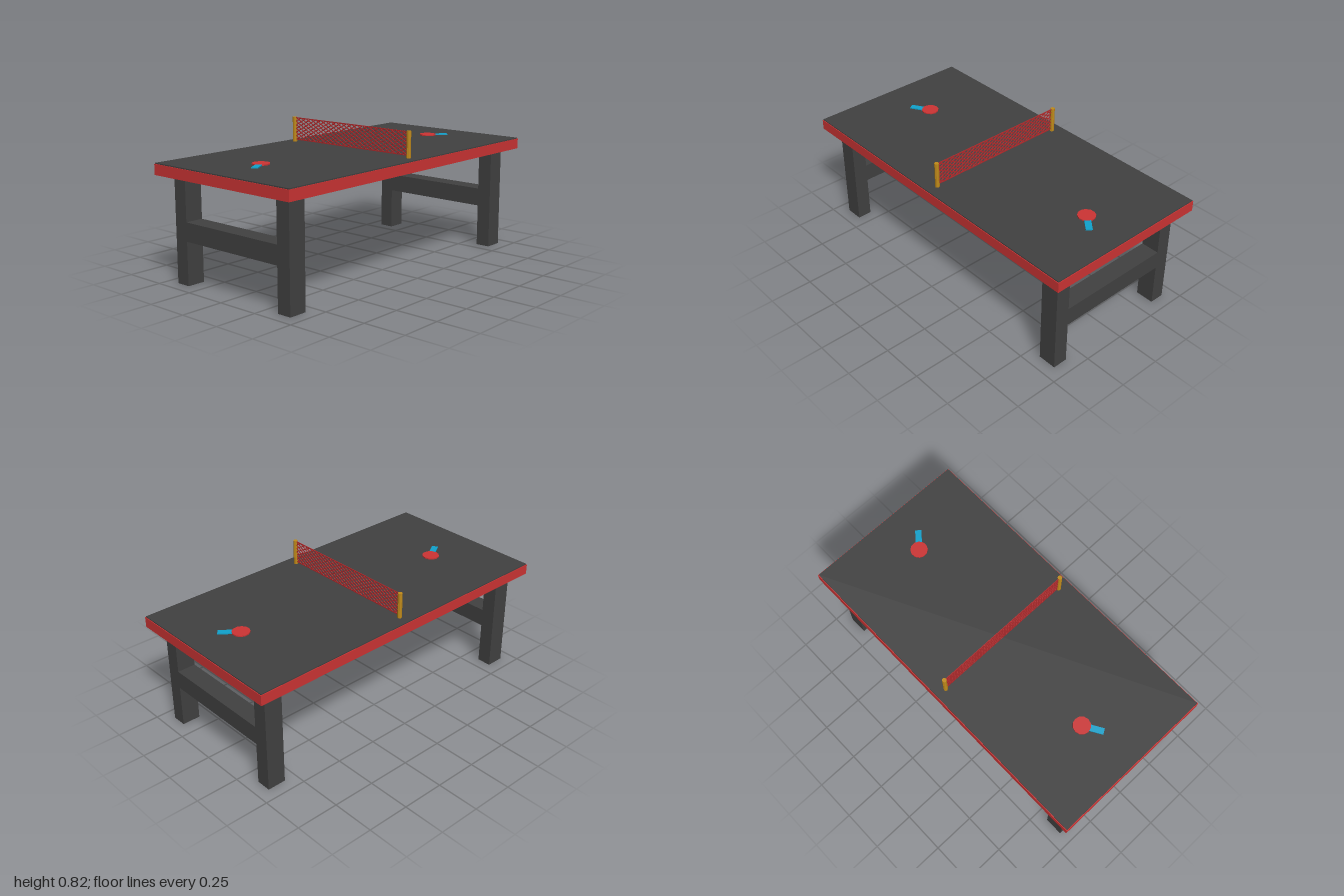
import * as THREE from 'three';
import { mergeGeometries } from 'three/addons/utils/BufferGeometryUtils.js';

const mat = (name, color) => {
  const m = new THREE.MeshStandardMaterial({ color });
  m.name = name;
  return m;
};

export function createModel() {
  const charcoal = mat('charcoal', 0x414141);
  const red = mat('red', 0xcc3434);
  const netRed = mat('net red', 0xb02a2c);
  const gold = mat('gold', 0xc08a1a);
  const blue = mat('blue', 0x10a2cc);

  const model = new THREE.Group();
  model.name = 'pingPongTable';

  const add = (parent, name, geometry, material, x = 0, y = 0, z = 0) => {
    const mesh = new THREE.Mesh(geometry, material);
    mesh.name = name;
    mesh.position.set(x, y, z);
    parent.add(mesh);
    return mesh;
  };
  const box = (w, h, d) => new THREE.BoxGeometry(w, h, d);

  // Table top: red slab with a thin dark playing surface
  add(model, 'tableSlab', box(2, 0.06, 1), red, 0, 0.632, 0);
  add(model, 'playingSurface', box(1.992, 0.006, 0.992), charcoal, 0, 0.665, 0);

  // Two H-shaped leg frames
  for (const sx of [-1, 1]) {
    const frame = new THREE.Group();
    frame.name = sx > 0 ? 'leftLegFrame' : 'rightLegFrame';
    frame.position.x = sx * 0.873;
    for (const sz of [-1, 1]) {
      add(frame, 'leg', box(0.108, 0.602, 0.086), charcoal, 0, 0.301, sz * 0.384);
    }
    add(frame, 'crossBar', box(0.108, 0.107, 0.682), charcoal, 0, 0.3015, 0);
    model.add(frame);
  }

  // Net posts
  for (const z of [-0.432, 0.428]) {
    const geometry = new THREE.CylinderGeometry(0.013, 0.013, 0.149, 8).toNonIndexed();
    geometry.computeVertexNormals();
    add(model, 'netPost', geometry, gold, 0, 0.7425, z);
  }

  // Net: two families of diagonal cords clipped to a rectangle, plus edge cords
  const z0 = -0.42, z1 = 0.418, y0 = 0.682, y1 = 0.812;
  const cords = [];
  const addCord = (za, ya, zb, yb, side) => {
    const length = Math.hypot(zb - za, yb - ya);
    if (length < 0.004) return;
    const cord = box(0.004, 0.0052, length);
    cord.rotateX(-Math.atan2(yb - ya, zb - za));
    cord.translate(side * 0.001, (ya + yb) / 2, (za + zb) / 2);
    cords.push(cord);
  };
  const pitch = 0.0399, slope = 0.55, run = (y1 - y0) / slope;
  for (let start = z0 - Math.ceil(run / pitch) * pitch; start < z1; start += pitch) {
    const a = Math.max(start, z0), b = Math.min(start + run, z1);
    if (b <= a) continue;
    const ya = y0 + (a - start) * slope, yb = y0 + (b - start) * slope;
    addCord(a, ya, b, yb, 1);
    addCord(z0 + z1 - a, ya, z0 + z1 - b, yb, -1);
  }
  addCord(z0, y0, z1, y0, 0);
  addCord(z0, y1, z1, y1, 0);
  add(model, 'net', mergeGeometries(cords), netRed);

  // Paddles lying on the table, each with its handle along local +x
  const addPaddle = (name, x, z, dx, dz) => {
    const paddle = new THREE.Group();
    paddle.name = name;
    paddle.position.set(x, 0.668, z);
    paddle.rotation.y = Math.atan2(-dz, dx);
    const blade = new THREE.CylinderGeometry(0.05, 0.05, 0.007, 12).toNonIndexed();
    blade.computeVertexNormals();
    add(paddle, 'paddleBlade', blade, red, 0, 0.0035, 0);
    add(paddle, 'paddleHandle', box(0.09, 0.006, 0.036), blue, 0.078, 0.003, 0);
    model.add(paddle);
  };
  addPaddle('rightPaddle', -0.655, -0.045, -0.105, 0.062);
  addPaddle('leftPaddle', 0.72, 0.02, 0.095, 0.079);

  return model;
}
